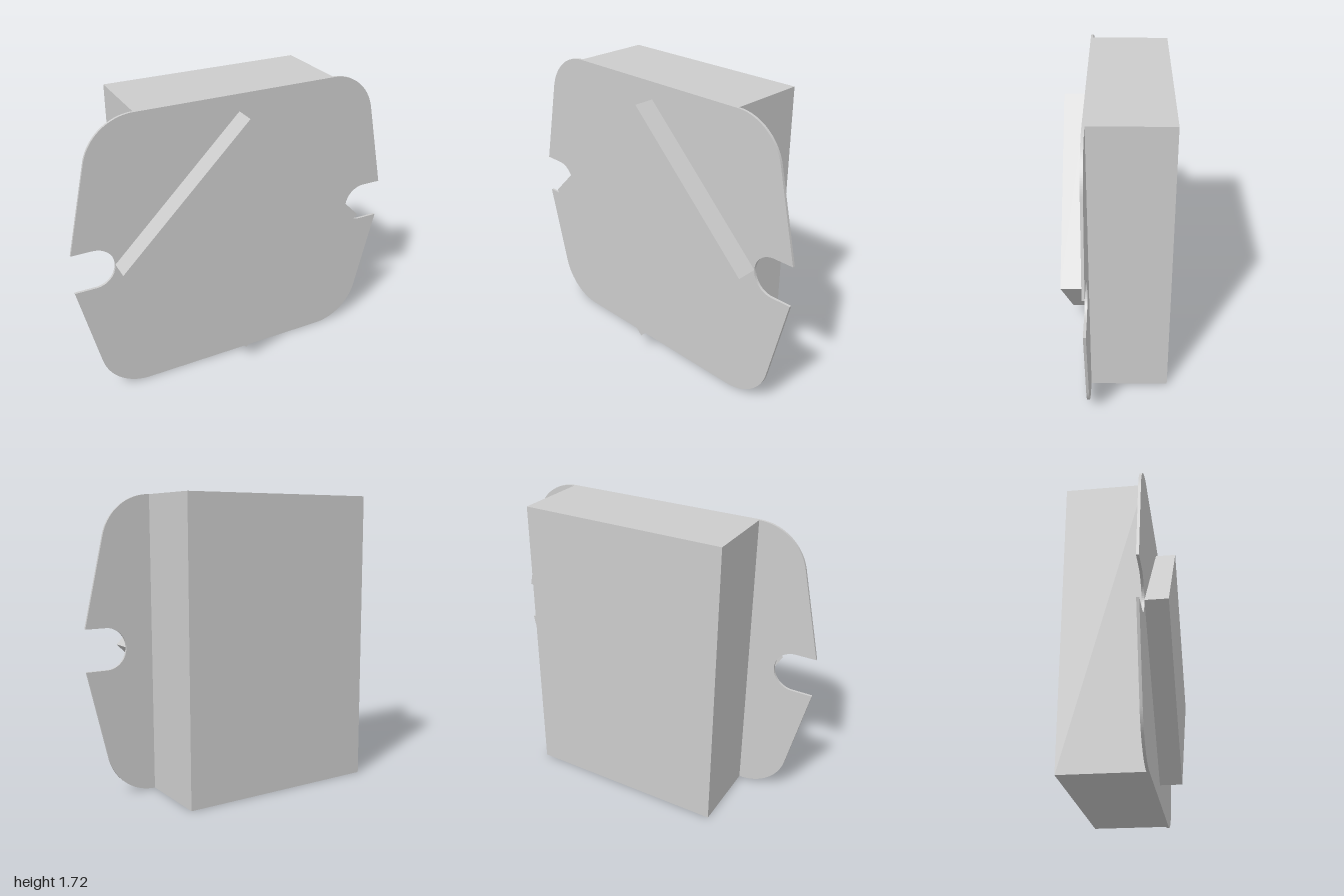
import * as THREE from 'three';

const material = new THREE.MeshStandardMaterial({ color: 0xcccccc });
const HALF = 0.86; // half of the overall height

function add(group, name, geometry, y, z) {
  const mesh = new THREE.Mesh(geometry, material);
  mesh.name = name;
  mesh.position.set(0, y, z);
  group.add(mesh);
  return mesh;
}

// Flange outline: tapered sides, rounded corners and a round-ended slot on each side
function flangeShape() {
  const shape = new THREE.Shape();
  const r = 0.29, cx = 0.6, cy = HALF - r, notch = 0.12, slotX = 0.88;
  const lean = Math.atan2(0.11, 0.51);
  for (const s of [1, -1]) {
    const turn = s === 1 ? 0 : Math.PI; // second half is the first turned by 180 degrees
    if (s === 1) shape.moveTo(-cx, -HALF);
    shape.lineTo(s * cx, -s * HALF);
    shape.absarc(s * cx, -s * cy, r, turn - Math.PI / 2, turn - lean, false);
    shape.lineTo(s, -s * notch);
    shape.lineTo(s * slotX, -s * notch);
    shape.absarc(s * slotX, 0, notch, turn + 1.5 * Math.PI, turn + Math.PI / 2, true);
    shape.lineTo(s, s * notch);
    shape.absarc(s * cx, s * cy, r, turn + lean, turn + Math.PI / 2, false);
  }
  shape.closePath();
  return shape;
}

export function createModel() {
  const group = new THREE.Group();
  group.name = 'flangedBlock';

  // Deep rectangular housing behind the flange
  add(group, 'rearHousing', new THREE.BoxGeometry(1.2, 2 * HALF, 0.452), HALF, -0.07);

  // Thin mounting flange
  const flange = new THREE.ExtrudeGeometry(flangeShape(), {
    depth: 0.015, bevelEnabled: false, curveSegments: 16,
  });
  add(group, 'mountingFlange', flange, HALF, 0.156);

  // Square front block standing on its corner
  const side = 0.76 * Math.SQRT2;
  const block = add(group, 'frontBlock', new THREE.BoxGeometry(side, side, 0.125), HALF, 0.2335);
  block.rotation.z = Math.PI / 4;

  return group;
}
